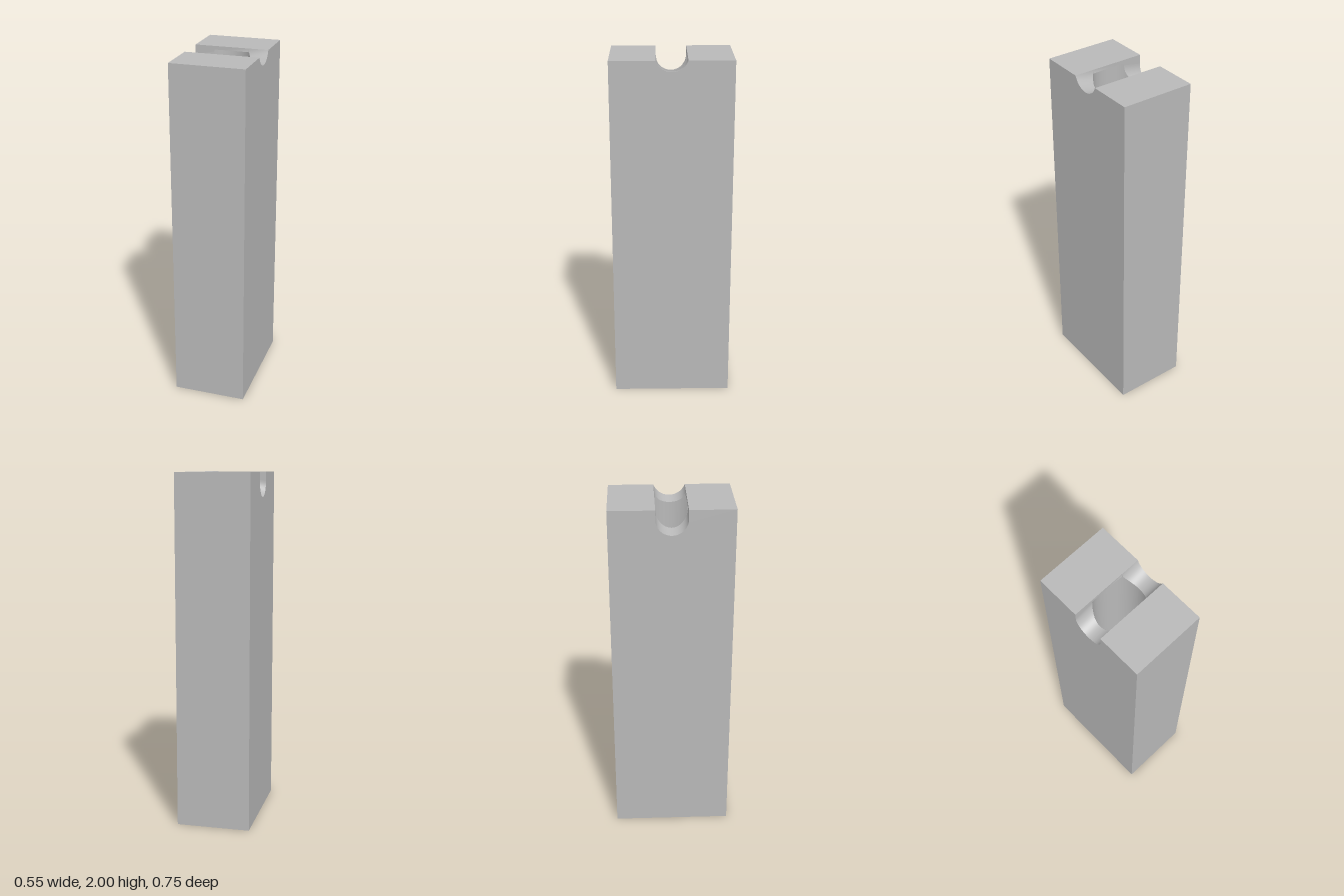
import * as THREE from 'three';

const W = 0.21, D = 0.3375, H = 2;      // half width, half depth, height
const G = 0.087, R = 0.132;             // groove half width, bore radius
const CEIL = 1.98;                      // top of the bore under the flats
const XE = Math.sqrt(R * R - G * G);    // bore edge at the groove side

// Sloping groove: shallow at +x, deep at -x
const grooveDepth = x => 0.1 - 0.187 * x;
const grooveRadius = d => (d < G ? (G * G + d * d) / (2 * d) : G);
function floorY(x, z) {
  const d = grooveDepth(x), r = grooveRadius(d);
  return H - d + r - Math.sqrt(Math.max(0, r * r - z * z));
}
// Half width of the groove at height y
function halfWidthAt(x, y) {
  const d = grooveDepth(x), r = grooveRadius(d), c = H - d + r;
  return y >= c ? G : Math.min(G, Math.sqrt(Math.max(0, r * r - (c - y) ** 2)));
}

// Surface patch from a rule (u, v) -> [x, y, z]
function patch(fn, nu, nv) {
  const pos = [], idx = [];
  for (let j = 0; j <= nv; j++) for (let i = 0; i <= nu; i++) pos.push(...fn(i / nu, j / nv));
  for (let j = 0; j < nv; j++) for (let i = 0; i < nu; i++) {
    const a = j * (nu + 1) + i, b = a + 1, c = a + nu + 1, d = c + 1;
    idx.push(a, b, d, a, d, c);
  }
  const g = new THREE.BufferGeometry();
  g.setAttribute('position', new THREE.Float32BufferAttribute(pos, 3));
  g.setIndex(idx);
  g.computeVertexNormals();
  return g;
}

export function createModel() {
  const grey = new THREE.MeshStandardMaterial({ color: 0xb8b8b8, side: THREE.DoubleSide });
  grey.name = 'grey';
  const block = new THREE.Group();
  block.name = 'block';
  const add = (name, geo) => {
    const m = new THREE.Mesh(geo, grey);
    m.name = name;
    block.add(m);
  };

  // Base with the round bore opening
  const base = new THREE.Shape([[-W, -D], [W, -D], [W, D], [-W, D]].map(p => new THREE.Vector2(...p)));
  base.holes.push(new THREE.Path().absarc(0, 0, R, 0, Math.PI * 2, true));
  add('base', new THREE.ShapeGeometry(base, 48).rotateX(Math.PI / 2));

  for (const s of [-1, 1]) {
    // Plain narrow wall and flat top on each side of the groove
    add('narrowWall', patch((u, v) => [(s * (2 * u - 1)) * W, v * H, s * D], 1, 1));
    add('topFlat', patch((u, v) => [s * (2 * u - 1) * W, H, s * (D + v * (G - D))], 1, 1));

    // Wide wall notched by the groove end
    const outline = [[-D, 0], [D, 0], [D, H], [G, H]];
    for (let i = 0; i <= 32; i++) {
      const z = G * Math.cos(Math.PI * i / 32);
      outline.push([z, Math.min(H - 1e-4, floorY(s * W, z))]);
    }
    outline.push([-G, H], [-D, H]);
    const wall = new THREE.Shape(outline.map(p => new THREE.Vector2(...p)));
    add('wideWall', new THREE.ShapeGeometry(wall).rotateY(-Math.PI / 2).translate(s * W, 0, 0));

    // Groove floor from the wall to the edge of the bore
    add('grooveFloor', patch((u, v) => {
      const z = G * Math.sin((u - 0.5) * Math.PI);
      const x = s * (W + v * (Math.sqrt(R * R - z * z) - W));
      return [x, floorY(x, z), z];
    }, 32, 6));

    // Upright groove side at the deep end
    add('grooveSide', patch((u, v) => {
      const x = -W + u * (W - XE), y = floorY(x, G);
      return [x, y + v * (H - y), s * G];
    }, 4, 1));

    // Thin lip over the bore
    add('grooveLip', patch((u, v) => {
      const x = (2 * u - 1) * XE, y = H + v * (CEIL - H);
      return [x, y, s * halfWidthAt(x, y)];
    }, 16, 4));

    // Bore ceiling under the flat
    add('boreCeiling', patch((u, v) => {
      const x = (2 * u - 1) * XE, z = halfWidthAt(x, CEIL);
      return [x, CEIL, s * (z + v * (Math.sqrt(R * R - x * x) - z))];
    }, 24, 1));
  }

  // Bore wall, meeting the groove floor and the ceiling
  add('boreWall', patch((u, v) => {
    const a = u * Math.PI * 2, x = R * Math.cos(a), z = R * Math.sin(a);
    const top = Math.abs(z) < G ? Math.min(CEIL, floorY(x, z)) : CEIL;
    return [x, v * top, z];
  }, 96, 1));

  block.rotation.y = -0.21;
  const model = new THREE.Group();
  model.name = 'groovedBlock';
  model.add(block);
  return model;
}
